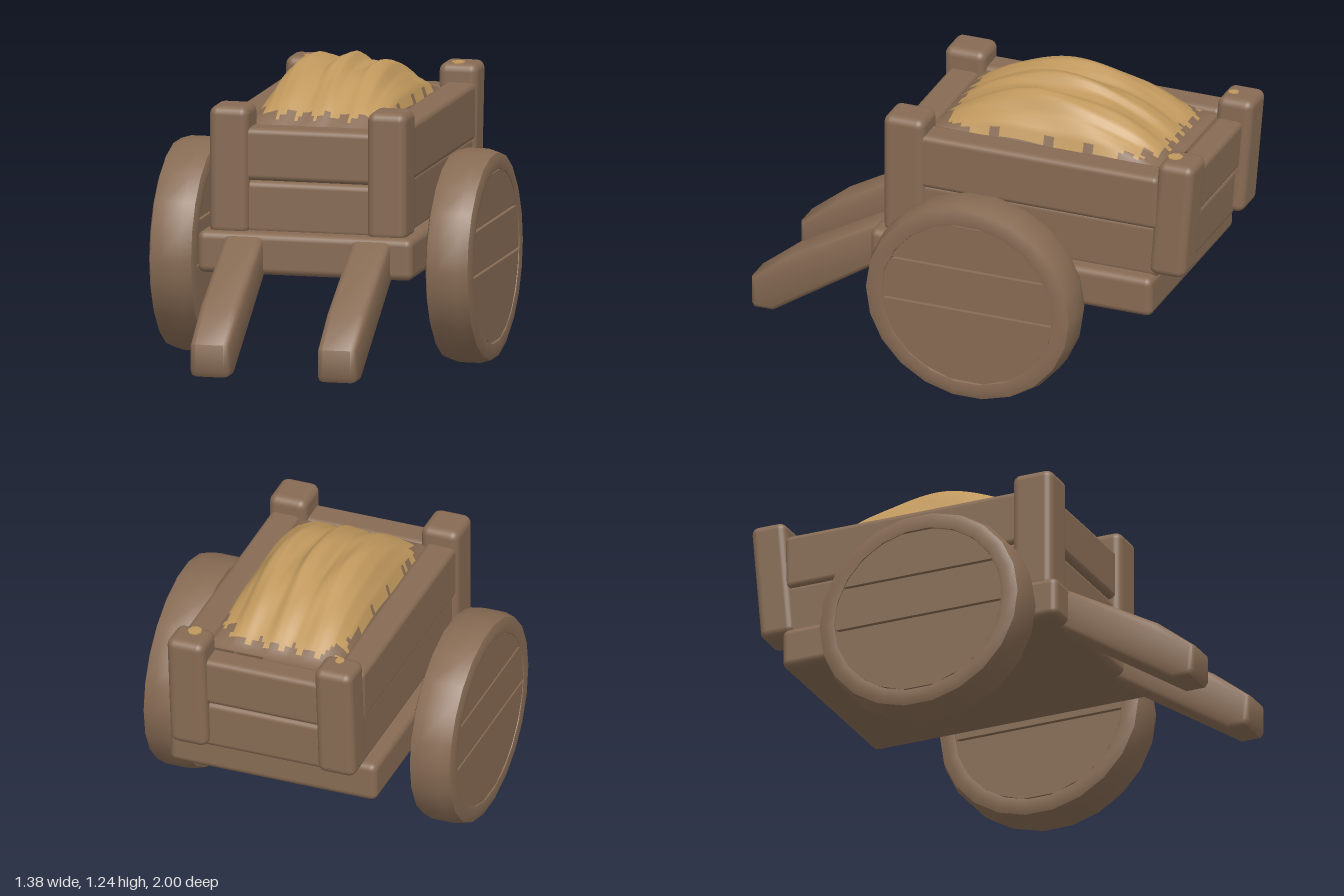
import * as THREE from 'three';
import { toCreasedNormals } from 'three/addons/utils/BufferGeometryUtils.js';
import { RoundedBoxGeometry } from 'three/addons/geometries/RoundedBoxGeometry.js';

const wood = new THREE.MeshStandardMaterial({ color: 0x876b54 });
wood.name = 'brown wood';
const straw = new THREE.MeshStandardMaterial({ color: 0xc0985d, side: THREE.DoubleSide });
straw.name = 'golden straw';
const woodLitter = wood; // low fringe of the load shares the wood colour

export function createModel() {
  const root = new THREE.Group();
  root.name = 'hayCart';

  function add(name, geometry, material = wood, parent = root) {
    const mesh = new THREE.Mesh(geometry, material);
    mesh.name = name;
    parent.add(mesh);
    return mesh;
  }
  // rounded beam given by its limits on each axis
  function beam(name, [x0, x1], [y0, y1], [z0, z1], r = 0.03) {
    const mesh = add(name, new RoundedBoxGeometry(x1 - x0, y1 - y0, z1 - z0, 3, r));
    mesh.position.set((x0 + x1) / 2, (y0 + y1) / 2, (z0 + z1) / 2);
    return mesh;
  }
  // lean a mesh backwards as it rises
  function lean(mesh, slope) {
    const p = mesh.geometry.attributes.position;
    for (let i = 0; i < p.count; i++) p.setZ(i, p.getZ(i) - slope * p.getY(i));
    mesh.geometry.computeBoundingSphere();
    return mesh;
  }

  // Bed of the cart
  beam('platform', [-0.46, 0.46], [0.415, 0.59], [-0.83, 0.43], 0.03);

  // Walls: two planks on every side, the lower one set in a little
  for (const [row, y0, y1, inset] of [['lower', 0.575, 0.815, 0.012], ['upper', 0.8, 1.04, 0]]) {
    for (const s of [-1, 1]) {
      const xs = [s * 0.28, s * (0.41 - inset)].sort((a, b) => a - b);
      beam(row + 'SidePlank', xs, [y0, y1], [-0.84, 0.25], 0.025);
    }
    beam(row + 'FrontPlank', [-0.3, 0.3], [y0, y1 - 0.02], [0.23, 0.365 - inset], 0.025);
    lean(beam(row + 'BackPlank', [-0.3, 0.3], [y0, y1 - 0.02],
      row === 'upper' ? [-0.945, -0.825] : [-0.915, -0.805], 0.025), 0.08);
  }

  // Corner posts; the back pair leans outward
  for (const s of [-1, 1]) {
    const xs = [s * 0.255, s * 0.422].sort((a, b) => a - b);
    beam('frontPost', xs, [0.57, 1.11], [0.205, 0.388], 0.035);
    const xb = [s * 0.245, s * 0.412].sort((a, b) => a - b);
    lean(beam('backPost', xb, [0.59, 1.113], [-0.976, -0.816], 0.035), 0.085);
    const fleck = add('strawFleck', new THREE.CylinderGeometry(0.03, 0.03, 0.006, 7), straw);
    fleck.scale.set(s < 0 ? 0.65 : 1.0, 1, s < 0 ? 0.8 : 1.1);
    fleck.position.set(s * 0.322, 1.113, -0.885);
  }

  // Sloping handles, extruded from their side outline
  const outline = new THREE.Shape([
    [0.3, 0.45], [0.4, 0.405], [0.9, 0.078], [0.985, 0.078], [1.0, 0.1],
    [1.0, 0.215], [0.83, 0.35], [0.43, 0.575], [0.3, 0.575],
  ].map(([z, y]) => new THREE.Vector2(z, y)));
  for (const x of [-0.26, 0.285]) {
    let g = new THREE.ExtrudeGeometry(outline, {
      depth: 0.12, bevelThickness: 0.024, bevelSize: 0.02, bevelOffset: -0.02, bevelSegments: 2,
    });
    g.translate(0, 0, -0.06);
    g.rotateY(-Math.PI / 2);
    add('handle', toCreasedNormals(g, 0.9)).position.x = x;
  }

  // Wheels: a rounded rim with a recessed web and three planks on each face
  const half = [[0, 0.07], [0.355, 0.07], [0.365, 0.095], [0.4, 0.1], [0.432, 0.088], [0.445, 0.045]];
  const profile = [...half.map(([r, h]) => [r, -h]), ...half.slice().reverse()]
    .map(([r, h]) => new THREE.Vector2(r, h));
  function wheelPlank(y0, y1) {
    const r = 0.362, pts = [];
    for (const dir of [1, -1]) {
      for (let i = 0; i <= 8; i++) {
        const k = dir > 0 ? i / 8 : 1 - i / 8;
        const y = y0 + (y1 - y0) * k;
        pts.push(new THREE.Vector2(dir * Math.sqrt(Math.max(0, r * r - y * y)), y));
      }
    }
    const g = new THREE.ExtrudeGeometry(new THREE.Shape(pts), { depth: 0.184, bevelEnabled: false });
    g.translate(0, 0, -0.092);
    g.rotateY(Math.PI / 2);
    return g;
  }
  for (const s of [-1, 1]) {
    const wheel = new THREE.Group();
    wheel.name = s > 0 ? 'leftWheel' : 'rightWheel';
    const rim = new THREE.LatheGeometry(profile, 22);
    rim.rotateZ(Math.PI / 2);
    add('rim', toCreasedNormals(rim, 0.8), wood, wheel);
    for (const [y0, y1] of [[-0.355, -0.035], [-0.025, 0.155], [0.165, 0.355]]) {
      add('wheelPlank', wheelPlank(y0, y1), wood, wheel);
    }
    wheel.position.set(s * 0.592, 0.445, -0.098);
    wheel.scale.z = 1.05;
    root.add(wheel);
  }

  // Heap of straw: ridges across, arched lengthwise, with a brown ragged fringe
  const ridge = [0, 0.1, 0.165, 0.2, 0.212, 0.2, 0.185, 0.212, 0.222, 0.185, 0.182, 0.2, 0.185, 0.13, 0.09, 0];
  const nx = 45, nz = 48, pos = [], strawFaces = [], fringeFaces = [];
  for (let j = 0; j <= nz; j++) {
    const z = -0.83 + 1.06 * (j / nz);
    const t = (z + 0.27) / (z > -0.27 ? 0.5 : 0.54);
    const arch = Math.max(0, 1 - Math.pow(Math.abs(t), 2.1));
    for (let i = 0; i <= nx; i++) {
      const u = (i / nx) * (ridge.length - 1);
      const a = Math.min(Math.floor(u), ridge.length - 2);
      const f = u - a, k = f * f * (3 - 2 * f);
      const crest = ridge[a] * (1 - k) + ridge[a + 1] * k;
      const lump = 0.006 * Math.sin(z * 13 + i * 0.5) * arch;
      pos.push(-0.3 + 0.6 * (i / nx), 1.015 + crest * arch + lump, z);
    }
  }
  for (let j = 0; j < nz; j++) {
    for (let i = 0; i < nx; i++) {
      const p = j * (nx + 1) + i, q = p + nx + 1;
      const y = (pos[p * 3 + 1] + pos[q * 3 + 4]) / 2;
      const limit = 1.05 + 0.012 * Math.sin(i * 1.1 + j * 0.7) + 0.008 * Math.sin(j * 1.7);
      (y > limit ? strawFaces : fringeFaces).push(p, q, p + 1, p + 1, q, q + 1);
    }
  }
  const heap = new THREE.BufferGeometry();
  heap.setAttribute('position', new THREE.Float32BufferAttribute(pos, 3));
  heap.setIndex([...strawFaces, ...fringeFaces]);
  heap.addGroup(0, strawFaces.length, 0);
  heap.addGroup(strawFaces.length, fringeFaces.length, 1);
  heap.computeVertexNormals();
  add('strawHeap', heap, [straw, woodLitter]);

  return root;
}
